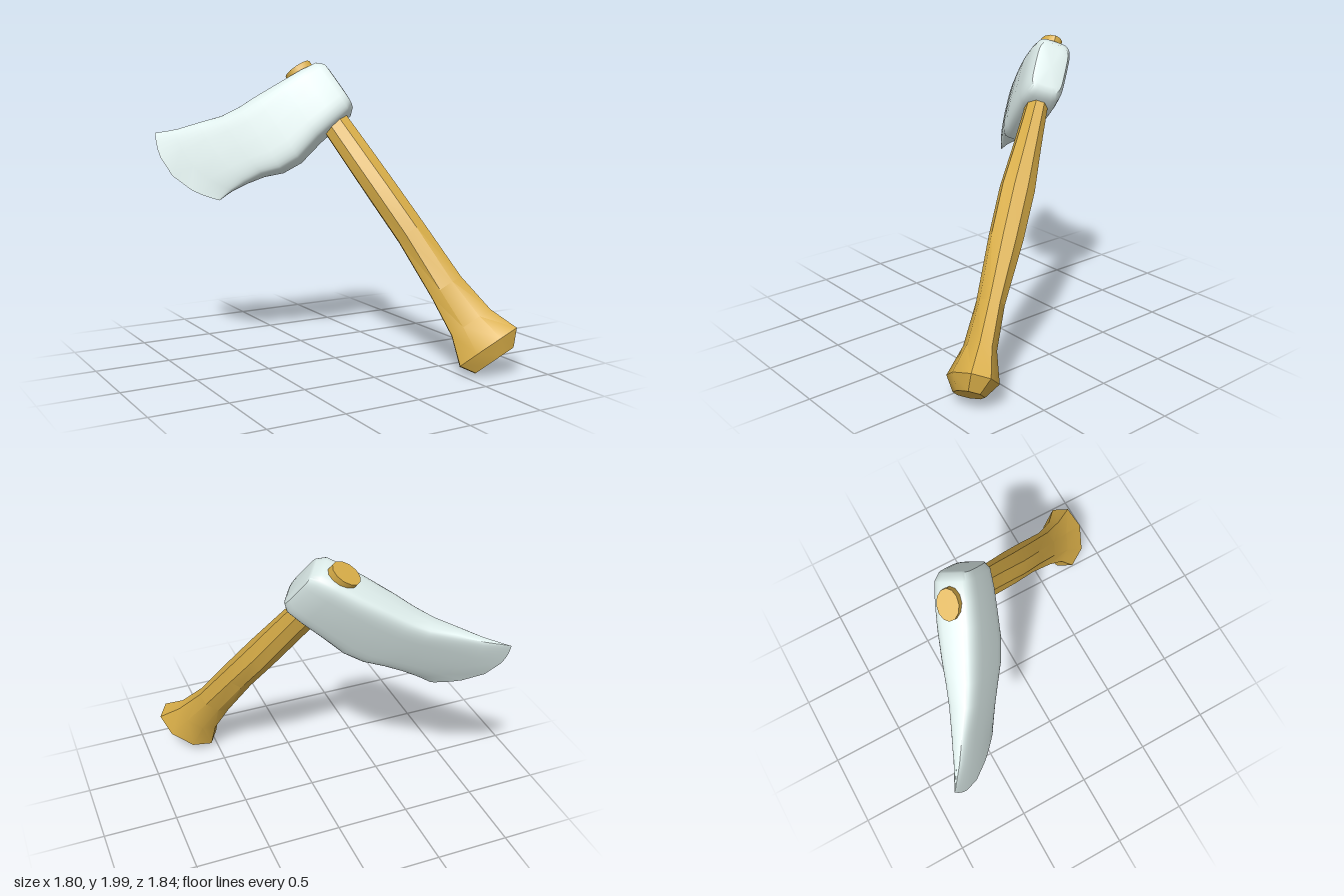
import * as THREE from 'three';
import { toCreasedNormals } from 'three/addons/utils/BufferGeometryUtils.js';

// Skin a list of equal-sized rings, closing both ends with a fan
function loft(rings, crease) {
  const n = rings[0].length, pos = [], idx = [];
  rings.forEach(r => r.forEach(p => pos.push(p.x, p.y, p.z)));
  for (let i = 0; i < rings.length - 1; i++) {
    for (let j = 0; j < n; j++) {
      const a = i * n + j, b = i * n + (j + 1) % n;
      idx.push(a, b, a + n, b, b + n, a + n);
    }
  }
  [0, rings.length - 1].forEach((k, end) => {
    const c = new THREE.Vector3();
    rings[k].forEach(p => c.addScaledVector(p, 1 / n));
    const ci = pos.length / 3;
    pos.push(c.x, c.y, c.z);
    for (let j = 0; j < n; j++) {
      const a = k * n + j, b = k * n + (j + 1) % n;
      if (end) idx.push(ci, a, b); else idx.push(ci, b, a);
    }
  });
  const g = new THREE.BufferGeometry();
  g.setAttribute('position', new THREE.Float32BufferAttribute(pos, 3));
  g.setIndex(idx);
  return toCreasedNormals(g, crease);
}

const power = (v, e) => Math.sign(v) * Math.abs(v) ** e;

// Axe head: rounded-box sections from the poll to the curved cutting edge
function headGeometry() {
  // distance from handle axis, top depth, bottom depth, half thickness, edge bend
  const stations = [
    [-0.17, 0.12, 0.39, 0.075, 0],
    [-0.165, 0.085, 0.425, 0.1, 0],
    [-0.12, 0.045, 0.465, 0.122, 0],
    [0, 0.03, 0.485, 0.13, 0],
    [0.15, 0.02, 0.505, 0.13, 0],
    [0.34, 0.005, 0.55, 0.118, 0],
    [0.48, 0, 0.54, 0.104, 0],
    [0.62, -0.02, 0.49, 0.086, 0.1],
    [0.78, -0.075, 0.465, 0.06, 0.3],
    [0.96, -0.13, 0.455, 0.035, 0.7],
    [1.12, -0.2, 0.46, 0.003, 1],
  ];
  const sides = 32;
  const rings = stations.map(([s, top, bottom, half, bend]) =>
    Array.from({ length: sides }, (_, j) => {
      const a = (j / sides) * Math.PI * 2;
      const q = -power(Math.cos(a), 0.45);
      const depth = (top + bottom) / 2 + q * (bottom - top) / 2;
      const x = s - bend * (0.06 * q + 0.12 * q * q);
      return new THREE.Vector3(x, -depth, half * power(Math.sin(a), 0.45));
    }));
  return loft(rings, 0.75);
}

// Handle: faceted oval sections, flaring into a knob at the foot
function handleGeometry() {
  // depth below the top, half width, half thickness, sideways shift
  const stations = [
    [0.02, 0.08, 0.06, 0],
    [0.46, 0.095, 0.068, 0],
    [0.75, 0.1, 0.085, 0],
    [1.05, 0.103, 0.108, 0],
    [1.38, 0.105, 0.105, 0],
    [1.8, 0.12, 0.082, 0.015],
    [2.08, 0.155, 0.095, 0.015],
    [2.27, 0.225, 0.15, 0.015],
    [2.36, 0.15, 0.09, 0.03],
  ];
  const sides = 8;
  const rings = stations.map(([t, w, h, shift]) =>
    Array.from({ length: sides }, (_, j) => {
      const a = ((j + 0.5) / sides) * Math.PI * 2;
      return new THREE.Vector3(shift + 1.05 * w * Math.cos(a), -t, 1.05 * h * Math.sin(a));
    }));
  return loft(rings, 0.6);
}

export function createModel() {
  const steel = new THREE.MeshStandardMaterial({ color: 0xdcebe9 });
  const wood = new THREE.MeshStandardMaterial({ color: 0xd9ae48 });
  const axe = new THREE.Group();
  axe.name = 'axe';
  const add = (name, geometry, material) => {
    const mesh = new THREE.Mesh(geometry, material);
    mesh.name = name;
    axe.add(mesh);
    return mesh;
  };

  add('axeHead', headGeometry(), steel);
  add('handle', handleGeometry(), wood);

  // Oval end of the handle showing through the top of the head
  const plug = new THREE.CylinderGeometry(1, 1, 0.07, 12);
  plug.scale(0.098, 1, 0.07);
  plug.translate(0, -0.025, 0);
  add('handleTop', toCreasedNormals(plug, 0.7), wood);

  // Lean the whole axe: blade direction, handle direction, thickness
  const blade = new THREE.Vector3(-0.77, -0.55, -0.325).normalize();
  const up = new THREE.Vector3(-0.32, 0.77, -0.55).normalize();
  const side = new THREE.Vector3().crossVectors(blade, up).normalize();
  up.crossVectors(side, blade);
  axe.applyMatrix4(new THREE.Matrix4().makeBasis(blade, up, side).setPosition(-0.03, 1.94, -0.46));

  const model = new THREE.Group();
  model.add(axe);
  return model;
}
